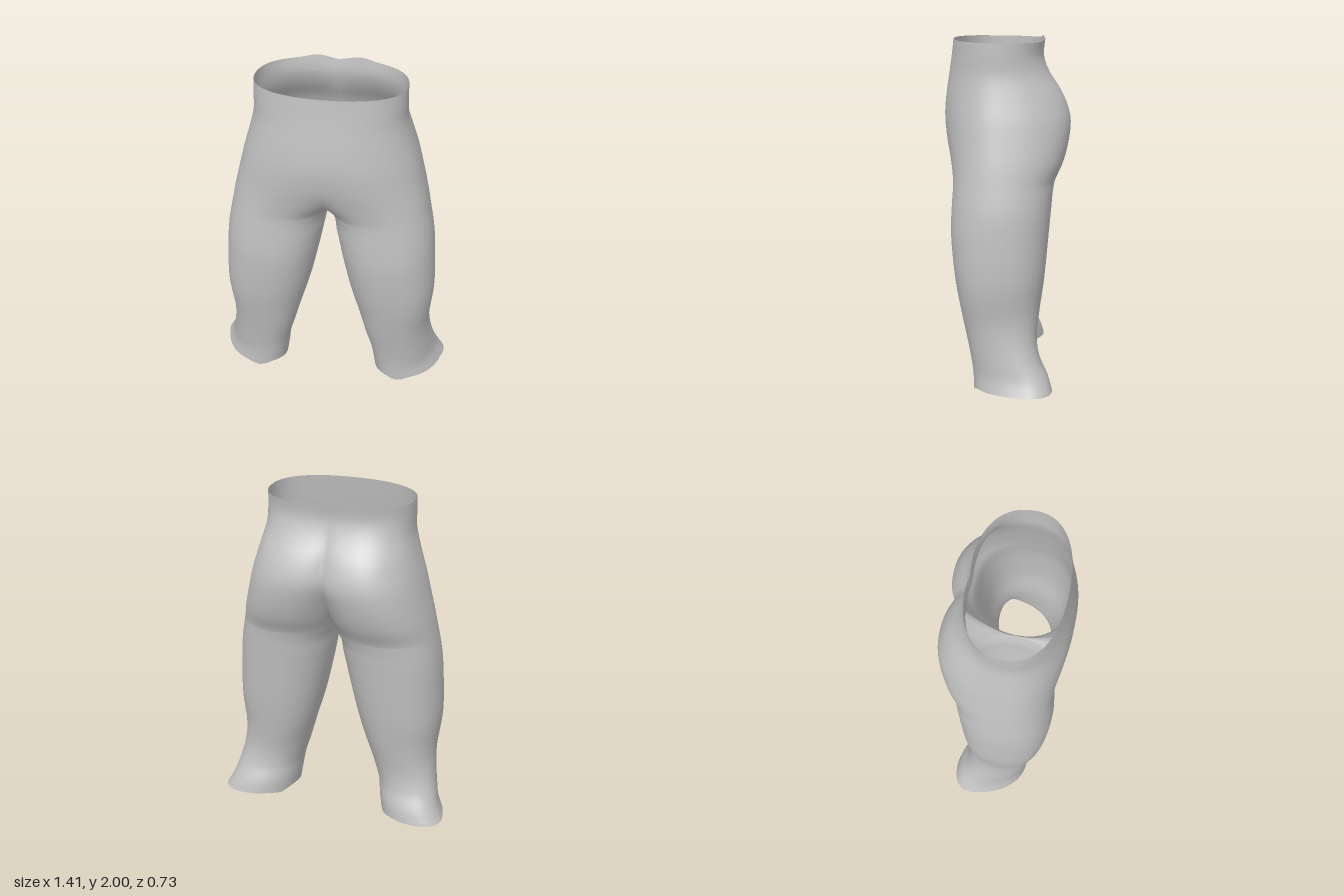
import * as THREE from 'three';
import { mergeVertices } from 'three/addons/utils/BufferGeometryUtils.js';

const CROTCH = 1.19;
// One row per height: y, outer x, front lobe centre x, back lobe centre x, front z, back z, side z
const ROWS = [
  [0.026, 0.695, 0.497, 0.497, 0.195, -0.25, -0.06],
  [0.1, 0.66, 0.472, 0.472, 0.2, -0.228, -0.04],
  [0.2, 0.635, 0.45, 0.45, 0.215, -0.182, 0],
  [0.3, 0.618, 0.425, 0.425, 0.235, -0.166, 0.025],
  [0.42, 0.61, 0.403, 0.403, 0.26, -0.177, 0.04],
  [0.65, 0.633, 0.38, 0.38, 0.302, -0.21, 0.045],
  [0.9, 0.625, 0.347, 0.347, 0.325, -0.235, 0.04],
  [1.05, 0.612, 0.325, 0.325, 0.32, -0.25, 0.035],
  [1.19, 0.586, 0.293, 0.293, 0.312, -0.268, 0.03],
  [1.3, 0.564, 0.2, 0.262, 0.325, -0.318, 0.03],
  [1.42, 0.535, 0.08, 0.225, 0.35, -0.352, 0.03],
  [1.55, 0.503, 0.01, 0.18, 0.364, -0.364, 0.03],
  [1.68, 0.465, 0, 0.155, 0.354, -0.322, 0.035],
  [1.8, 0.436, 0, 0.12, 0.336, -0.247, 0.045],
  [1.9, 0.434, 0, 0.09, 0.322, -0.212, 0.05],
  [1.98, 0.432, 0, 0.08, 0.312, -0.222, 0.05],
];

// Smooth interpolation of the table at height y
function section(y) {
  let i = 0;
  while (i < ROWS.length - 2 && y > ROWS[i + 1][0]) i++;
  const a = ROWS[i], b = ROWS[i + 1];
  const before = ROWS[Math.max(i - 1, 0)], after = ROWS[Math.min(i + 2, ROWS.length - 1)];
  const h = b[0] - a[0], t = (y - a[0]) / h;
  return a.map((v, k) => {
    const m0 = (b[k] - before[k]) / (b[0] - before[0]) * h;
    const m1 = (after[k] - v) / (after[0] - a[0]) * h;
    const t2 = t * t, t3 = t2 * t;
    return (2 * t3 - 3 * t2 + 1) * v + (t3 - 2 * t2 + t) * m0
      + (3 * t2 - 2 * t3) * b[k] + (t3 - t2) * m1;
  });
}

const POWER = 0.88;
const soft = (v) => Math.sign(v) * Math.pow(Math.abs(v), POWER);
const bump = (v, centre, width) => Math.exp(-(((v - centre) / width) ** 2));

// Strip from the inner front, round the outside, to the inner back.
// Below the crotch its ends meet; above it they lie on the centre plane.
function ring(y, half) {
  let [, outer, frontC, backC, front, back, side] = section(y);
  if (y <= CROTCH) backC = frontC;
  else {
    frontC = Math.min(frontC, outer / 2);
    backC = Math.min(backC, outer / 2);
  }
  const skew = 0.06 * Math.max(0, 1 - y / 0.5);
  const points = [];
  for (let j = -half; j <= half; j++) {
    const isFront = j < 0;
    const c = isFront ? frontC : backC, r = outer - c;
    const reach = c < r && y > CROTCH ? Math.acos(-Math.pow(Math.max(c, 0) / r, 1 / POWER)) : Math.PI;
    const angle = (Math.abs(j) / half) * reach;
    const s = soft(Math.sin(angle));
    let x = c + r * soft(Math.cos(angle));
    const z = side + s * ((isFront ? front : back) - side);
    x += skew * s * (isFront ? -1 : 1);
    if (y >= CROTCH && Math.abs(j) === half) x = 0;
    // Uneven hems at the ankles and at the back of the waist
    const low = Math.max(0, 1 - (y - 0.026) / 0.08);
    const high = Math.max(0, 1 - (1.98 - y) / 0.06);
    const dip = (isFront ? 0.026 * bump(angle, Math.PI / 2, 0.25) : 0) + 0.014 * bump(angle, 2.7, 0.25);
    const lift = isFront ? 0.007 * s : 0.02 * bump(x, 0.12, 0.08);
    points.push([Math.max(x, 0), y - low * dip + high * lift, z]);
  }
  return points;
}

// Both mirrored halves welded into one smooth skin
function skinGeometry() {
  const heights = [];
  const span = (a, b, n) => { for (let i = 0; i < n; i++) heights.push(a + (b - a) * i / n); };
  span(0.026, 0.2, 7);
  span(0.2, CROTCH, 22);
  for (let i = 0; i < 10; i++) heights.push(CROTCH + 0.16 * (i / 10) ** 2);
  span(1.35, 1.98, 18);
  heights.push(1.98);

  const half = 24, count = half * 2 + 1;
  const positions = [], index = [];
  for (const mirror of [1, -1]) {
    const start = positions.length / 3;
    heights.forEach((y, i) => {
      for (const [x, py, z] of ring(y, half)) positions.push(mirror * x, py, z);
      if (i === 0) return;
      for (let j = 0; j < count - 1; j++) {
        const a = start + (i - 1) * count + j, b = a + 1, d = a + count, c = d + 1;
        if (mirror > 0) index.push(a, b, c, a, c, d);
        else index.push(a, c, b, a, d, c);
      }
    });
  }
  const geometry = new THREE.BufferGeometry();
  geometry.setAttribute('position', new THREE.Float32BufferAttribute(positions, 3));
  geometry.setIndex(index);
  const welded = mergeVertices(geometry, 1e-4);
  welded.computeVertexNormals();
  return welded;
}

export function createModel() {
  const group = new THREE.Group();
  group.name = 'trousers';
  const cloth = new THREE.MeshStandardMaterial({ color: 0xc0c0c0, side: THREE.DoubleSide });
  cloth.name = 'light grey cloth';
  const trousers = new THREE.Mesh(skinGeometry(), cloth);
  trousers.name = 'waistAndLegs';
  group.add(trousers);
  return group;
}
